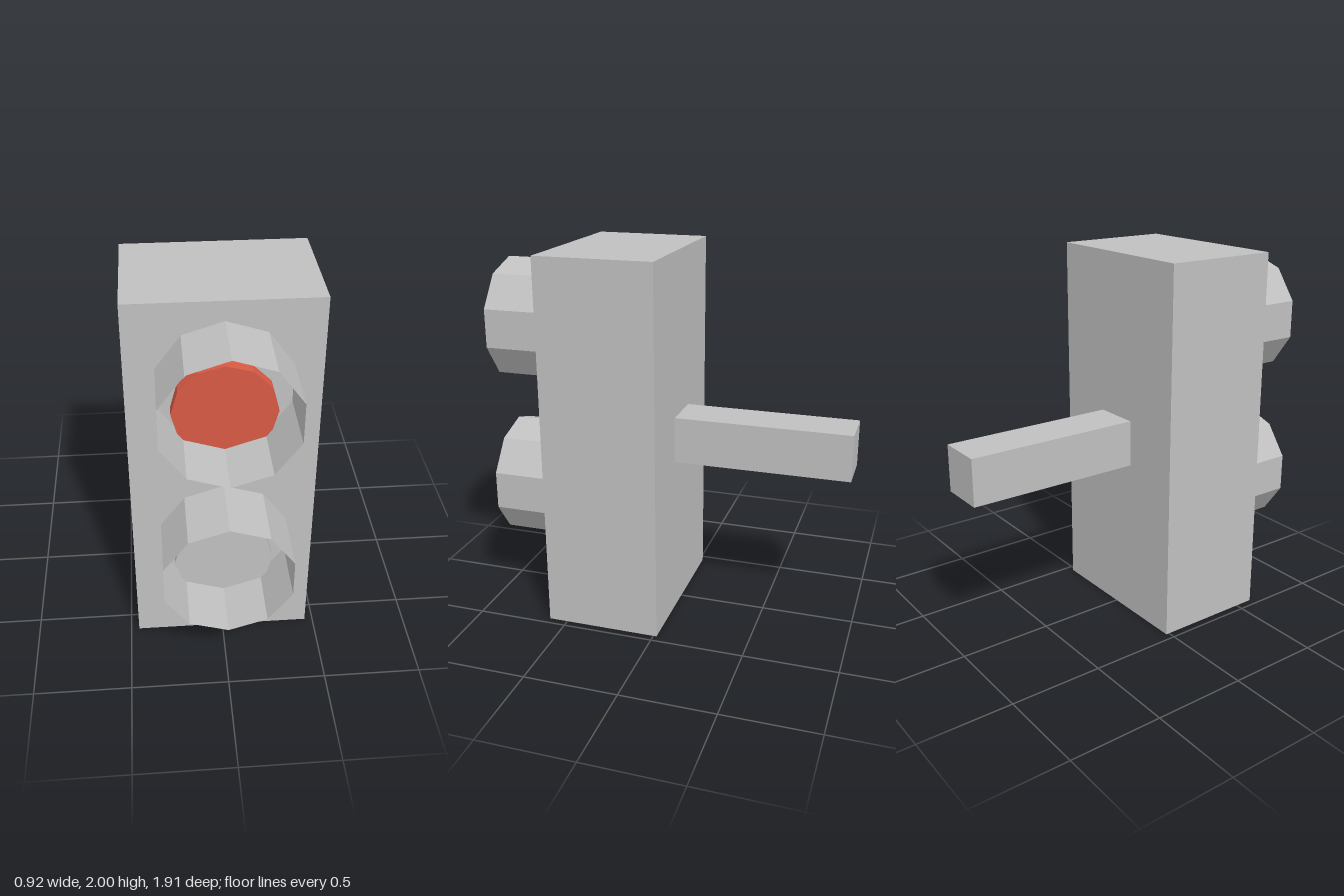
import * as THREE from 'three';

export function createModel() {
  const model = new THREE.Group();
  model.name = 'signalLight';

  // The hoods are open shells, so the grey shows from both sides
  const grey = new THREE.MeshStandardMaterial({ color: 0xc0c0c0, flatShading: true, side: THREE.DoubleSide });
  grey.name = 'grey';
  const red = new THREE.MeshStandardMaterial({ color: 0xd85a44, flatShading: true });
  red.name = 'red';

  function add(name, geometry, material, x, y, z) {
    const mesh = new THREE.Mesh(geometry, material);
    mesh.name = name;
    mesh.position.set(x, y, z);
    model.add(mesh);
  }

  // Box between two z values
  function box(name, width, height, y, zBack, zFront) {
    add(name, new THREE.BoxGeometry(width, height, zFront - zBack), grey, 0, y, (zBack + zFront) / 2);
  }

  // Cylinder along z, with a corner at the top
  function disc(name, radius, sides, y, zBack, zFront, material, open) {
    const geometry = new THREE.CylinderGeometry(radius, radius, zFront - zBack, sides, 1, open);
    geometry.rotateX(Math.PI / 2);
    add(name, geometry, material, 0, y, (zBack + zFront) / 2);
  }

  // Housing and rear mounting arm
  box('housing', 0.915, 2, 1, -0.018, 0.603);
  box('mountingArm', 0.25, 0.25, 1.004, -0.956, -0.018);

  // Two lamps: a shallow lens and a floating open hood set a little higher
  const lamps = [['upper', 1.46, red], ['lower', 0.545, grey]];
  for (const [prefix, y, material] of lamps) {
    disc(prefix + 'Lens', 0.25, 12, y, 0.603, 0.667, material, false);
    disc(prefix + 'Hood', 0.33, 10, y + 0.125, 0.627, 0.956, grey, true);
  }

  return model;
}
